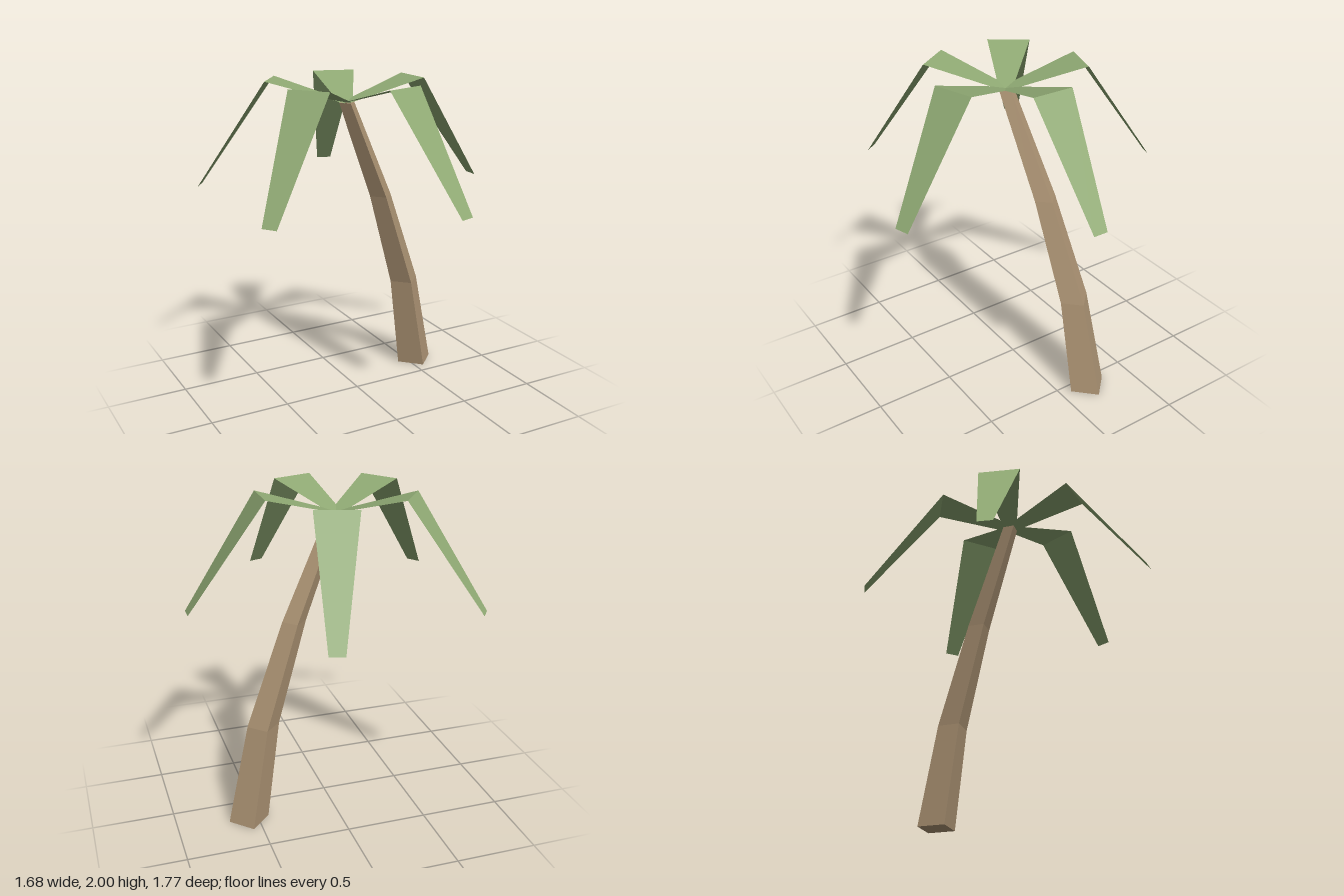
import * as THREE from 'three';

const bark = new THREE.MeshStandardMaterial({ color: 0xae9575, flatShading: true });
bark.name = 'bark';
const leaf = new THREE.MeshStandardMaterial({ color: 0x90aa74, flatShading: true, side: THREE.DoubleSide });
leaf.name = 'leaf';

// Trunk rings from top to bottom: centre x, height, centre z, radius
const RINGS = [
  [-0.07, 1.87, 0, 0.05],
  [0.213, 1.25, -0.085, 0.074],
  [0.437, 0.625, -0.155, 0.099],
  [0.556, 0, -0.195, 0.125],
];

// Frond sections from tip to crown: distance from crown, height, half width
const SECTIONS = [
  [0.913, 1.34, 0.046],
  [0.457, 2, 0.13],
  [0, 1.87, 0.04],
];

// Four-sided leaning trunk: a unit cylinder with each ring shifted and scaled
function trunkGeometry() {
  const g = new THREE.CylinderGeometry(1, 1, 3, 4, 3);
  const p = g.attributes.position;
  for (let i = 0; i < p.count; i++) {
    const [cx, y, cz, r] = RINGS[Math.round(1.5 - p.getY(i))];
    p.setXYZ(i, cx + p.getX(i) * r, y, cz + p.getZ(i) * r);
  }
  g.computeVertexNormals();
  return g;
}

// Frond running out along +x: rises to a fold, then droops to a narrow tip
function frondGeometry() {
  const g = new THREE.PlaneGeometry(2, 2, 1, 2);
  const p = g.attributes.position;
  for (let i = 0; i < p.count; i++) {
    const [r, y, w] = SECTIONS[Math.round(1 - p.getY(i))];
    p.setXYZ(i, r, y, p.getX(i) * w);
  }
  g.computeVertexNormals();
  return g;
}

export function createModel() {
  const group = new THREE.Group();
  group.name = 'palmTree';

  const trunk = new THREE.Mesh(trunkGeometry(), bark);
  trunk.name = 'trunk';
  group.add(trunk);

  // Five fronds spread evenly around the crown
  const crown = new THREE.Group();
  crown.name = 'crown';
  crown.position.x = -0.075;
  const geometry = frondGeometry();
  for (let i = 0; i < 5; i++) {
    const frond = new THREE.Mesh(geometry, leaf);
    frond.name = `frond${i + 1}`;
    frond.rotation.y = (i * Math.PI * 2) / 5;
    crown.add(frond);
  }
  group.add(crown);
  return group;
}
